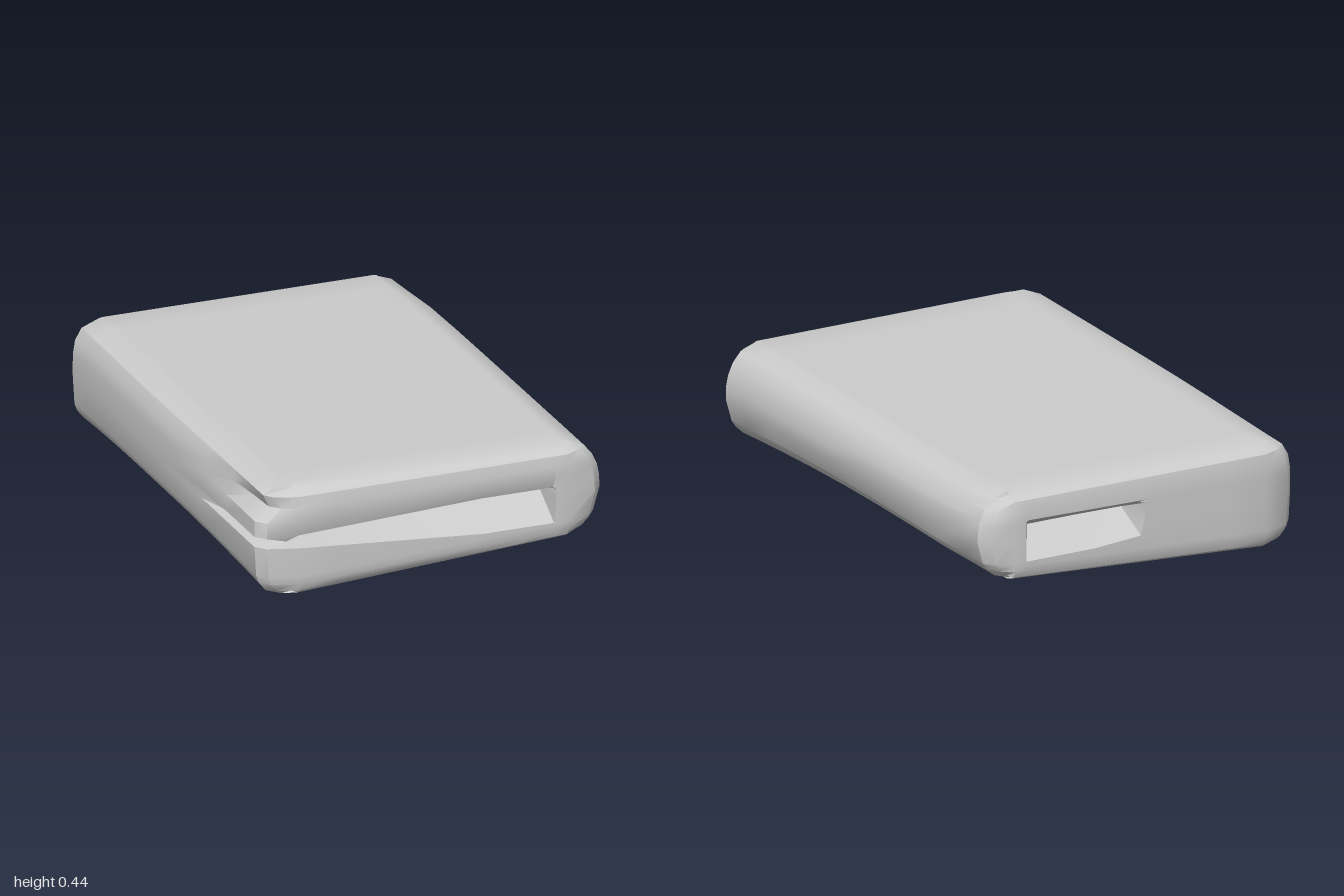
import * as THREE from 'three';
import { toCreasedNormals } from 'three/addons/utils/BufferGeometryUtils.js';

const { lerp, smoothstep, clamp } = THREE.MathUtils;

// Grid stops: columns across x (ends follow the rounded sides), sections along z,
// rows up the height (rows 4, 5 and 6 are the lower lip, root and upper lip of the end slots).
const COLS = [-1, -0.55, -0.4, -0.2, -0.02, 0, 0.2, 0.35, 0.49, 0.5, 0.55, 1];
const SECTIONS = [-1, -0.93, -0.8, -0.6, -0.35, -0.1, 0.15, 0.4, 0.65, 0.8, 0.93, 1];
const ROWS = [0, 0.05, 0.13, 0.2, 0, 0, 0, 0.7, 0.82, 0.93, 1];
const LIP = 4, ROOT = 5, UPPER = 6;

const topAt = (z) => 0.437 + 0.013 * z;
const bottomAt = (x, z) => Math.max(0, x + 0.55) * 0.06 + 0.035 * (1 - z * z);

// Height of a row, following the slot lips where it is one of them
function rowHeight(j, x, z) {
  const t = clamp((x + 0.65) / 0.85, 0, 1);
  if (j === LIP) return lerp(0.215, 0.15, t);
  if (j === ROOT) return lerp(0.23, 0.24, t);
  if (j === UPPER) return lerp(0.25, z < 0 ? 0.31 : 0.29, t);
  return lerp(bottomAt(x, z), topAt(z), ROWS[j]);
}

// Half-round fold on the right, squarer open edge on the left
const rightEdge = (v) => 0.57 + 0.135 * Math.sqrt(Math.max(0, 1 - v * v));
const leftEdge = (v) => -0.6 - 0.11 * Math.sqrt(Math.max(0, 1 - v ** 4));

function bodyPoint(i, j, k) {
  const nx = COLS.length - 1, nz = SECTIONS.length - 1;
  const onSide = i === 0 || i === nx, onEnd = k === 0 || k === nz;
  let x = onSide ? COLS[i] * 0.6 : COLS[i];
  let z = SECTIONS[k];
  let y = rowHeight(j, x, z);
  const low = bottomAt(x, z);
  const v = 2 * (y - low) / (topAt(z) - low) - 1;

  if (i === nx) x = rightEdge(v) - 0.03 * smoothstep(-z, 0.5, 1);
  if (i === 0) {
    // Creases between the layers, opening toward the front left corner
    const open = smoothstep(z, 0.3, 1);
    x = leftEdge(v) + 0.015 * smoothstep(-z, 0, 1);
    if (j === ROOT) x += 0.08 * open;
    if (j === 8) x += 0.05 * open;
  }
  if (onEnd) {
    // Softened rims and corners
    const dir = Math.sign(z);
    z -= dir * (0.03 * v ** 8 + (onSide ? 0.03 : 0));
    if (onSide) x -= Math.sign(x) * 0.035;
    y -= Math.sign(v) * 0.015 * v ** 8;
    // Wedge slots: nearly full width in front, half width at the back
    const inSlot = dir > 0 ? COLS[i] > -0.9 && COLS[i] <= 0.49 : COLS[i] >= 0 && COLS[i] <= 0.49;
    if (j === ROOT && inSlot) z -= dir * 0.15;
    if (j === UPPER && inSlot) z -= dir * 0.015;
  }
  return [x, y, z];
}

export function createModel() {
  const group = new THREE.Group();
  group.name = 'foldedPad';

  // Body: a gridded box whose vertices are moved by the rule above
  const nx = COLS.length - 1, ny = ROWS.length - 1, nz = SECTIONS.length - 1;
  const box = new THREE.BoxGeometry(1, 1, 1, nx, ny, nz);
  const p = box.attributes.position;
  for (let n = 0; n < p.count; n++) {
    const i = Math.round((p.getX(n) + 0.5) * nx);
    const j = Math.round((p.getY(n) + 0.5) * ny);
    const k = Math.round((p.getZ(n) + 0.5) * nz);
    p.setXYZ(n, ...bodyPoint(i, j, k));
  }
  box.deleteAttribute('uv');
  box.computeVertexNormals();
  const body = new THREE.Mesh(
    toCreasedNormals(box, 0.6),
    new THREE.MeshStandardMaterial({ color: 0xcccccc })
  );
  body.name = 'foldedBody';
  group.add(body);
  return group;
}
